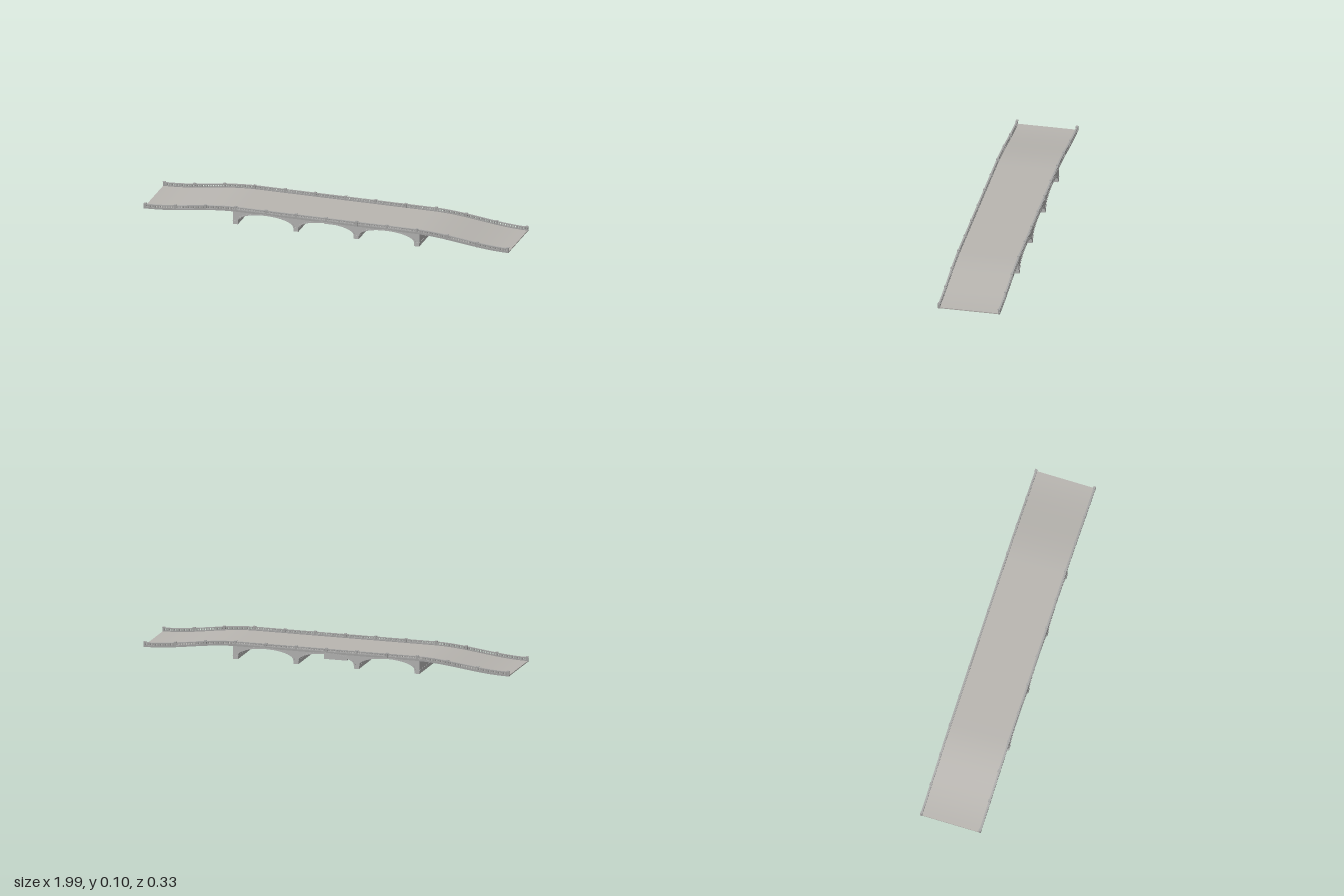
import * as THREE from 'three';
import { toCreasedNormals } from 'three/addons/utils/BufferGeometryUtils.js';

const BAY = 0.165;          // distance between railing posts
const HALF_W = 0.165;       // half width of the bridge
const ARCH_R = 0.151, SPRING = 0.022, RISE = 0.047;

// Height of the roadway: level over the arches, easing down both ramps
function deckY(x) {
  const t = Math.max(0, Math.min(1, (Math.abs(x) - 0.48) / 0.52));
  return 0.033 + 0.044 * (0.5 + 0.5 * Math.cos(Math.PI * t));
}

export function createModel() {
  const bridge = new THREE.Group();
  bridge.name = 'bridge';
  const mat = (name, color) => {
    const m = new THREE.MeshStandardMaterial({ color });
    m.name = name;
    return m;
  };
  const road = mat('road grey', 0xb9b6b1);
  const stone = mat('stone grey', 0xb8b8b7);
  const railStone = mat('railing grey', 0xa9a9a8);

  const add = (name, geometry, material, x = 0, y = 0, z = 0, parent = bridge) => {
    const mesh = new THREE.Mesh(geometry, material);
    mesh.name = name;
    mesh.position.set(x, y, z);
    parent.add(mesh);
    return mesh;
  };

  // Extrude a front outline between two depths
  const extrude = (shape, z0, z1) => {
    const g = new THREE.ExtrudeGeometry(shape, { depth: z1 - z0, bevelEnabled: false, curveSegments: 28 });
    g.translate(0, 0, z0);
    return toCreasedNormals(g, 0.5);
  };

  // Strip that follows the roadway between two heights above it
  const strip = (x0, x1, low, high, z0, z1) => {
    const n = 60, bottom = [], top = [];
    for (let i = 0; i <= n; i++) {
      const x = x0 + (x1 - x0) * i / n;
      bottom.push(new THREE.Vector2(x, deckY(x) + low));
      top.unshift(new THREE.Vector2(x, deckY(x) + high));
    }
    return extrude(new THREE.Shape([...bottom, ...top]), z0, z1);
  };

  // Upper half ellipse points, from right to left
  const arc = (cx, rx, ry, n = 28) => Array.from({ length: n + 1 }, (_, i) => {
    const a = Math.PI * i / n;
    return new THREE.Vector2(cx + rx * Math.cos(a), SPRING + ry * Math.sin(a));
  });

  // Outline of the arched body with a chosen top height
  const archedOutline = (top) => {
    const pts = [new THREE.Vector2(0.509, SPRING), new THREE.Vector2(0.509, top),
      new THREE.Vector2(-0.509, top), new THREE.Vector2(-0.509, SPRING)];
    for (const cx of [-2 * BAY, 0, 2 * BAY]) pts.push(...arc(cx, ARCH_R, RISE).reverse());
    return new THREE.Shape(pts);
  };

  // Roadway and barrel vaults
  add('roadway', strip(-0.995, 0.995, -0.005, 0, -0.158, 0.158), road);
  add('vaults', extrude(archedOutline(0.0725), -0.157, 0.157), stone);

  // Pier feet, with a narrow ledge at the springing line
  for (const k of [-3, -1, 1, 3]) {
    add('pierFoot', new THREE.BoxGeometry(0.027, 0.019, 2 * HALF_W), stone, k * BAY, 0.0125, 0);
    add('pierLedge', new THREE.BoxGeometry(0.031, 0.003, 2 * HALF_W), stone, k * BAY, SPRING, 0);
  }

  // Hanging plate under the middle arch
  add('hangingPlate', new THREE.BoxGeometry(0.124, 0.037, 0.016), stone, 0, 0.0185, 0);

  // Both sides: facade, arch rings and railing
  for (const s of [1, -1]) {
    const side = new THREE.Group();
    side.name = s > 0 ? 'frontSide' : 'backSide';
    bridge.add(side);
    const span = (a, b) => (s > 0 ? [a, b] : [-b, -a]);

    add('facade', extrude(archedOutline(0.087), ...span(0.156, 0.163)), stone, 0, 0, 0, side);
    for (const cx of [-2 * BAY, 0, 2 * BAY]) {
      const ring = new THREE.Shape([...arc(cx, ARCH_R + 0.008, RISE + 0.007), ...arc(cx, ARCH_R, RISE).reverse()]);
      add('archRing', extrude(ring, ...span(0.161, HALF_W)), stone, 0, 0, 0, side);
    }

    add('kerb', strip(-0.997, 0.997, -0.005, 0.005, ...span(0.154, 0.164)), railStone, 0, 0, 0, side);
    add('handrail', strip(-0.997, 0.997, 0.0145, 0.019, ...span(0.1545, 0.1635)), railStone, 0, 0, 0, side);

    // Posts with caps
    for (let k = -6; k <= 6; k++) {
      const x = k * BAY, y = deckY(x);
      add('post', new THREE.BoxGeometry(0.011, 0.025, 0.011), railStone, x, y + 0.0075, s * 0.159, side);
      add('postCap', new THREE.BoxGeometry(0.014, 0.003, 0.013), railStone, x, y + 0.0215, s * 0.1585, side);
    }

    // Balusters between the posts
    const perBay = 12, count = perBay * 12;
    const baluster = new THREE.BoxGeometry(0.008, 0.012, 0.006);
    for (let i = 0; i <= count; i++) {
      if (i % perBay === 0) continue;
      const x = -6 * BAY + i * BAY / perBay;
      add('baluster', baluster, railStone, x, deckY(x) + 0.0097, s * 0.159, side);
    }
  }
  return bridge;
}
